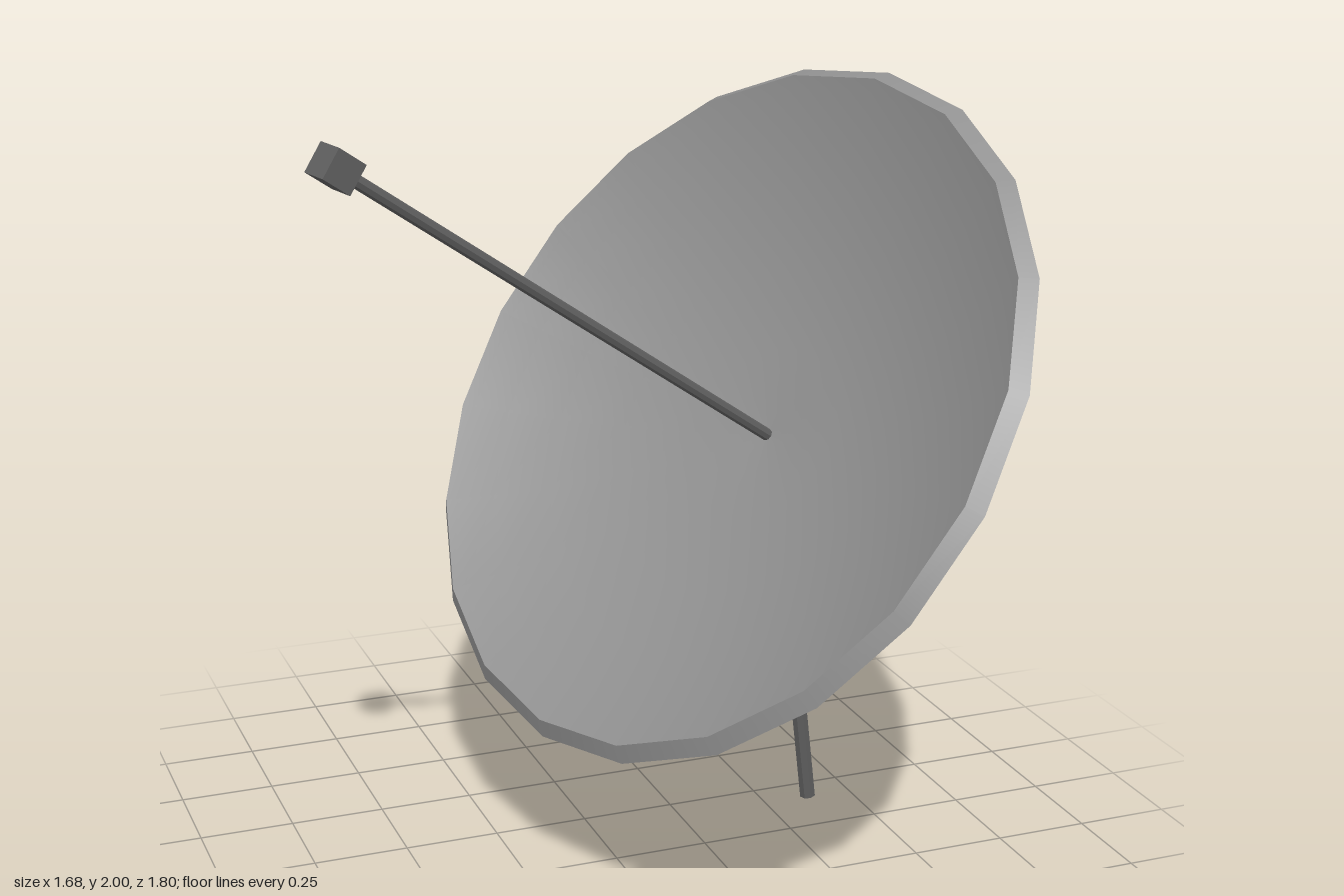
import * as THREE from 'three';

const V = (x, y, z) => new THREE.Vector3(x, y, z);
const dishGrey = new THREE.MeshStandardMaterial({ color: 0x919191 });
const boxGrey = new THREE.MeshStandardMaterial({ color: 0x828282 });
const darkGrey = new THREE.MeshStandardMaterial({ color: 0x606060, flatShading: true });

// Rotation whose local y follows `up` and whose local z lies close to `front`
function orient(up, front) {
  const y = up.clone().normalize();
  const x = y.clone().cross(front).normalize();
  const z = x.clone().cross(y);
  return new THREE.Quaternion().setFromRotationMatrix(new THREE.Matrix4().makeBasis(x, y, z));
}

function add(parent, name, geometry, material) {
  const mesh = new THREE.Mesh(geometry, material);
  mesh.name = name;
  parent.add(mesh);
  return mesh;
}

// Faceted bar between two points
function rod(parent, name, a, b, radius) {
  const dir = b.clone().sub(a);
  const mesh = add(parent, name, new THREE.CylinderGeometry(radius, radius, dir.length(), 8), darkGrey);
  mesh.position.copy(a).lerp(b, 0.5);
  mesh.quaternion.copy(orient(dir, V(0, 0, 1)));
}

// Bowl profile from the apex out to the edge at height `top`; a lower power is fuller near the edge
function bowlProfile(radius, depth, top, power, steps = 6) {
  return Array.from({ length: steps + 1 }, (_, i) => {
    const t = Math.sin((i / steps) * Math.PI * 0.5);
    return new THREE.Vector2(radius * t, top - depth * Math.max(0, 1 - t * t) ** power);
  });
}

export function createModel() {
  const model = new THREE.Group();
  model.name = 'satelliteDish';
  const sides = 20;

  // Dish assembly: local y is the dish axis
  const dish = new THREE.Group();
  dish.name = 'dish';
  dish.position.set(0.267, 1.218, 0);
  dish.quaternion.copy(orient(V(-0.79, 0.553, 0.265), V(0.268, -0.04, 0.9)));
  model.add(dish);

  const outer = bowlProfile(0.94, 0.31, 0, 0.85);
  const inner = bowlProfile(0.905, 0.245, 0.035, 1);
  add(dish, 'dishBack', new THREE.LatheGeometry(outer, sides), dishGrey);
  add(dish, 'dishRim', new THREE.LatheGeometry([outer.at(-1), inner.at(-1)], sides), dishGrey);
  add(dish, 'dishBowl', new THREE.LatheGeometry(inner.reverse(), sides), dishGrey);

  // Feed arm on the axis, with the receiver at its tip
  rod(dish, 'feedArm', V(0, -0.22, 0), V(0, 1.3, 0), 0.016);
  add(dish, 'receiver', new THREE.BoxGeometry(0.076, 0.082, 0.076), darkGrey).position.y = 1.32;

  // Leaning mast and the short strut beside it
  rod(model, 'mast', V(0.628, 0.004, -0.17), V(0.47, 1.02, -0.085), 0.022);
  rod(model, 'strut', V(0.581, 0.75, -0.08), V(0.531, 1.085, -0.05), 0.021);

  // Control box fixed to the front of the mast
  const box = add(model, 'controlBox', new THREE.BoxGeometry(0.16, 0.455, 0.09), boxGrey);
  box.position.set(0.56, 0.6, -0.06);
  box.quaternion.copy(orient(V(-0.147, 1, 0.092), V(0.31, 0, 0.95)));

  return model;
}
